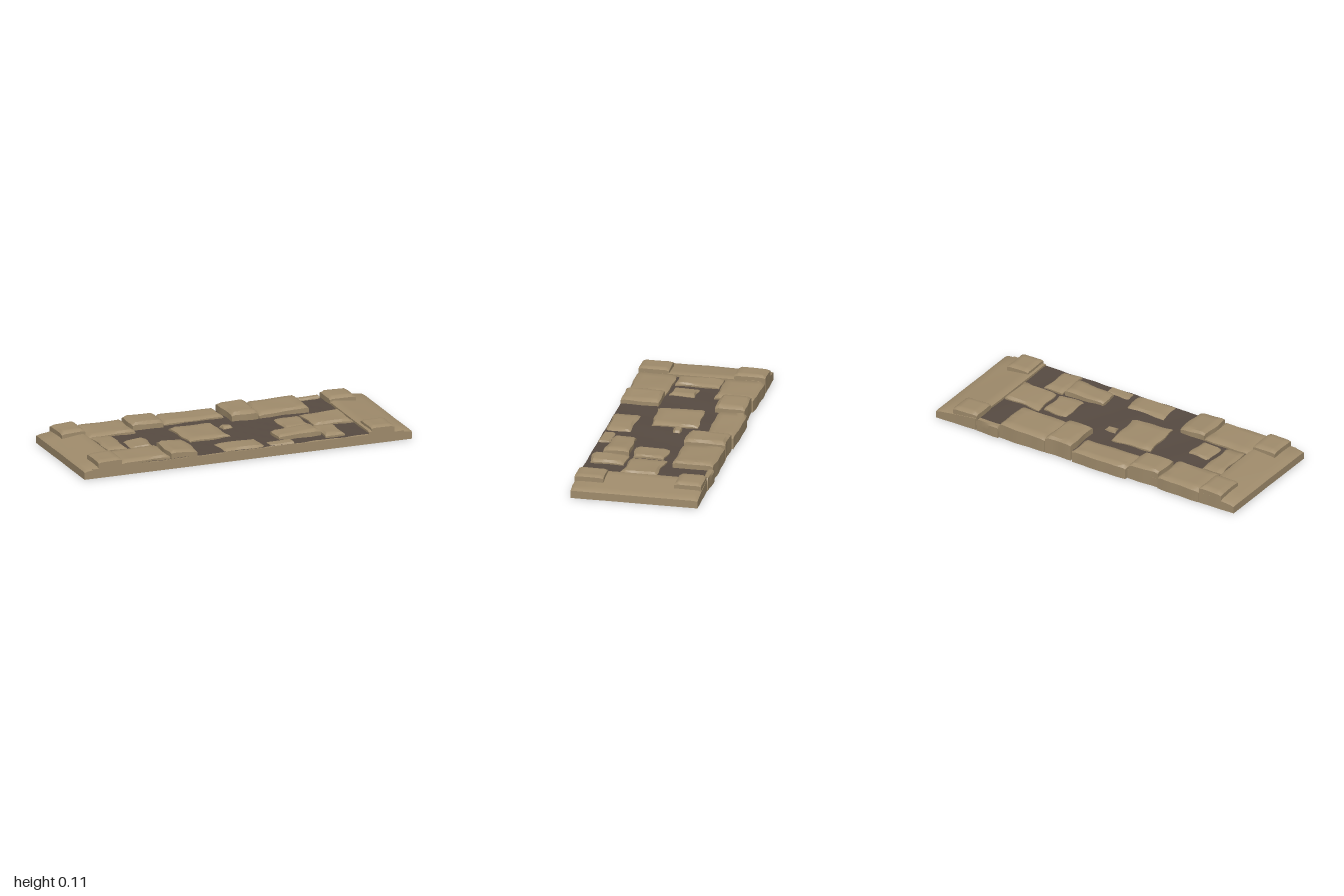
import * as THREE from 'three';
import { toCreasedNormals } from 'three/addons/utils/BufferGeometryUtils.js';

const stoneMat = new THREE.MeshStandardMaterial({ color: 0xa08c6c });
stoneMat.name = 'sandstone';
const mortarMat = new THREE.MeshStandardMaterial({ color: 0x574b42 });
mortarMat.name = 'dark earth';

const HALF_X = 1, BACK = -0.375, FRONT = 0.37;
const wave = (a, b) => Math.sin(a * 23 + b * 11) * 0.6 + Math.sin(a * 51 - b * 37 + 1.3) * 0.4;

// Worn block: bevelled rim, wavy outline and a top sloping from hL (left edge) to hR (right edge)
function stone(name, [x0, x1, z0, z1, hL, hR = hL], bottom = 0.02, bevel = 0.012, rough = 0.006) {
  const N = 8, w = x1 - x0, d = z1 - z0;
  const geo = new THREE.BoxGeometry(1, 1, 1, N, 2, N);
  const p = geo.attributes.position;
  const rim = Math.min(0.02, w * 0.15, d * 0.15);
  // Grid lines next to the edge are pulled out to form the bevel
  const spread = (t, size) => {
    const k = Math.round((t + 0.5) * N);
    if (k === 0) return 0;
    if (k === N) return size;
    return rim + (size - 2 * rim) * (k - 1) / (N - 2);
  };
  for (let i = 0; i < p.count; i++) {
    const u = p.getX(i), y = p.getY(i), v = p.getZ(i);
    const edgeX = Math.abs(u) > 0.49, edgeZ = Math.abs(v) > 0.49;
    let x = x0 + spread(u, w), z = z0 + spread(v, d);
    let top = hL + (hR - hL) * (x - x0) / w;
    if (edgeX || edgeZ) top -= edgeX && edgeZ ? bevel * 1.5 : bevel;
    else top += 0.003 * wave(x * 0.5, z * 0.5);
    const dx = edgeX ? rough * wave(x, z) : 0;
    const dz = edgeZ ? rough * wave(z + 2, x) : 0;
    x = THREE.MathUtils.clamp(x + dx, -HALF_X, HALF_X);
    z = THREE.MathUtils.clamp(z + dz, BACK, FRONT);
    p.setXYZ(i, x, bottom + (top - bottom) * (y + 0.5), z);
  }
  const mesh = new THREE.Mesh(toCreasedNormals(geo, 0.6), stoneMat);
  mesh.name = name;
  return mesh;
}

export function createModel() {
  const model = new THREE.Group();
  model.name = 'pavedPath';

  // Foundation slab
  const slab = new THREE.Mesh(new THREE.BoxGeometry(1.9, 0.055, 0.72), stoneMat);
  slab.position.set(0, 0.0275, 0.01);
  slab.name = 'foundation';
  model.add(slab);

  // Uneven earth between the stones
  const earth = new THREE.PlaneGeometry(1.54, 0.715, 44, 20).rotateX(-Math.PI / 2).translate(-0.01, 0.0605, 0.0125);
  const p = earth.attributes.position;
  for (let i = 0; i < p.count; i++) p.setY(i, p.getY(i) + 0.003 * wave(p.getX(i), p.getZ(i)));
  earth.computeVertexNormals();
  const joints = new THREE.Mesh(earth, mortarMat);
  joints.name = 'earthJoints';
  model.add(joints);

  // Sloping end slabs
  model.add(stone('rightEndSlab', [-1, -0.77, -0.365, 0.37, 0.052, 0.082], 0, 0.008, 0.002));
  model.add(stone('leftEndSlab', [0.735, 1, -0.365, 0.37, 0.082, 0.052], 0, 0.008, 0.002));

  // Raised corner blocks: x0, x1, z0, z1, top at x0, top at x1
  [
    [-0.915, -0.77, -0.365, -0.185, 0.1, 0.106],
    [-0.915, -0.77, 0.195, 0.37, 0.1, 0.104],
    [0.73, 0.892, -0.363, -0.208, 0.102, 0.1],
    [0.75, 0.892, 0.205, 0.37, 0.102, 0.1],
  ].forEach((s) => model.add(stone('cornerBlock', s, 0.03, 0.01, 0.003)));

  // Back row reaches down to the ground
  [
    [-0.765, -0.485, -0.363, -0.135, 0.08, 0.084],
    [-0.48, -0.29, -0.355, -0.18, 0.106, 0.1],
    [-0.28, 0.085, -0.372, -0.21, 0.08, 0.08],
    [0.1, 0.265, -0.365, -0.125, 0.11, 0.108],
    [0.27, 0.575, -0.363, -0.125, 0.09, 0.1],
    [0.58, 0.725, -0.372, -0.335, 0.075, 0.073],
  ].forEach((s) => model.add(stone('backStone', s, 0)));

  // Middle stones
  [
    [-0.765, -0.635, -0.125, 0.13, 0.082, 0.078],
    [-0.605, -0.485, -0.03, 0.13, 0.07, 0.075],
    [-0.275, -0.02, -0.13, 0.135, 0.08, 0.077],
    [0.0, 0.06, -0.06, -0.02, 0.076, 0.073],
    [0.32, 0.48, -0.055, 0.13, 0.076, 0.08],
    [0.505, 0.735, -0.075, 0.135, 0.077, 0.08],
  ].forEach((s) => model.add(stone('middleStone', s, 0.03, 0.01, 0.012)));

  // Front row
  [
    [-0.765, -0.475, 0.145, 0.37, 0.08, 0.082],
    [-0.47, -0.31, 0.145, 0.37, 0.104, 0.094],
    [-0.145, 0.105, 0.22, 0.37, 0.073, 0.07],
    [0.13, 0.29, 0.3, 0.37, 0.068, 0.07],
    [0.215, 0.465, 0.155, 0.29, 0.088, 0.1],
    [0.475, 0.605, 0.15, 0.35, 0.084, 0.078],
  ].forEach((s) => model.add(stone('frontStone', s, 0.01, 0.01, 0.009)));

  return model;
}
